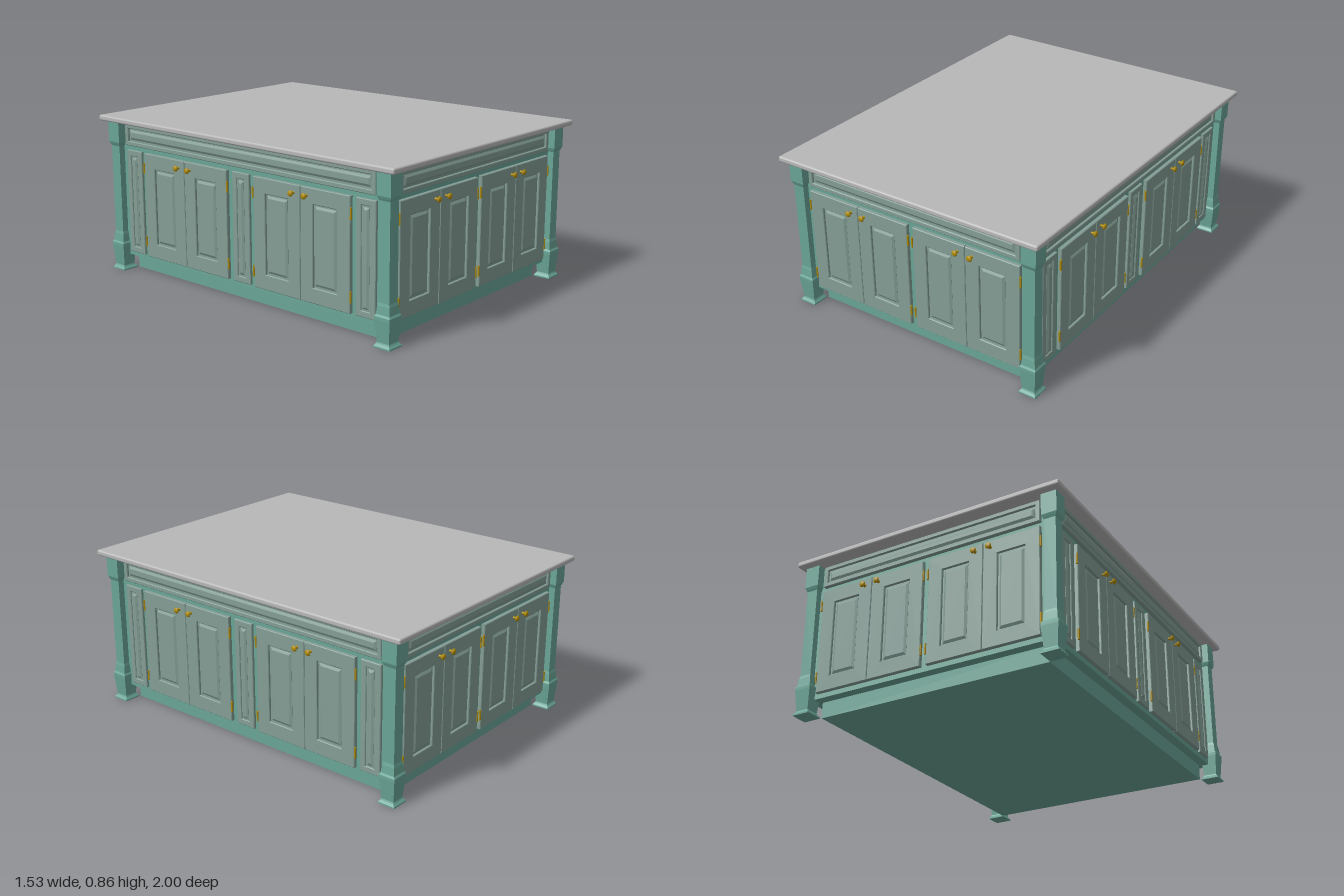
import * as THREE from 'three';
import { RoundedBoxGeometry } from 'three/addons/geometries/RoundedBoxGeometry.js';

const paint = new THREE.MeshStandardMaterial({ color: 0x6aa596, flatShading: true });
const panelPaint = new THREE.MeshStandardMaterial({ color: 0x839d95, flatShading: true });
const stone = new THREE.MeshStandardMaterial({ color: 0xb8b8b8 });
const brass = new THREE.MeshStandardMaterial({ color: 0xb08c0a });

function add(parent, name, geometry, material, x = 0, y = 0, z = 0) {
  const mesh = new THREE.Mesh(geometry, material);
  mesh.name = name;
  mesh.position.set(x, y, z);
  parent.add(mesh);
  return mesh;
}

function rect(Type, w, h) {
  return new Type([[-w, -h], [w, -h], [w, h], [-w, h]].map(([x, y]) => new THREE.Vector2(x / 2, y / 2)));
}

// Frame with a stepped opening and a raised, chamfered field; its back lies on z = 0
function framedPanel(name, w, h, border, t = 0.02) {
  const group = new THREE.Group();
  group.name = name;
  const bevel = 0.003;
  const frame = rect(THREE.Shape, w - 2 * bevel, h - 2 * bevel);
  const ow = w - 2 * border, oh = h - 2 * border;
  frame.holes.push(rect(THREE.Path, ow, oh));
  add(group, 'frame', new THREE.ExtrudeGeometry(frame, {
    depth: t - bevel, bevelThickness: bevel, bevelSize: bevel, bevelSegments: 1,
  }), panelPaint);
  add(group, 'recess', new THREE.BoxGeometry(ow + 0.01, oh + 0.01, 0.008), panelPaint, 0, 0, 0.004);
  const slope = Math.min(0.012, ow * 0.2, oh * 0.2);
  const field = rect(THREE.Shape, ow - 4 * slope, oh - 4 * slope);
  add(group, 'raisedField', new THREE.ExtrudeGeometry(field, {
    depth: 0.001, bevelThickness: 0.007, bevelSize: slope, bevelSegments: 1,
  }), panelPaint, 0, 0, 0.008);
  return group;
}

// Small turned knob pointing along +z
function knobGeometry() {
  const profile = [[0.009, 0], [0.006, 0.004], [0.006, 0.014], [0.012, 0.017], [0.0155, 0.021],
    [0.0145, 0.026], [0.009, 0.03], [0, 0.031]].map(([r, y]) => new THREE.Vector2(r, y));
  return new THREE.LatheGeometry(profile, 20).rotateX(Math.PI / 2);
}

// Square post with a tapered foot, a slim shaft and a top block
function legGeometry() {
  const profile = [[0, 0], [0.047, 0], [0.047, 0.007], [0.038, 0.018], [0.035, 0.025], [0.045, 0.135],
    [0.045, 0.15], [0.039, 0.16], [0.035, 0.2], [0.031, 0.215], [0.031, 0.69], [0.036, 0.7],
    [0.041, 0.712], [0.041, 0.826], [0, 0.826]];
  const points = profile.map(([half, y]) => new THREE.Vector2(half * Math.SQRT2, y));
  return new THREE.LatheGeometry(points, 4).rotateY(Math.PI / 4).toNonIndexed();
}

const doorW = 0.308, doorH = 0.565, doorY = 0.3925;

// Two doors meeting at centre x, with knobs and hinges
function doorPair(x) {
  const group = new THREE.Group();
  group.name = 'doorPair';
  group.position.set(x, doorY, 0);
  for (const s of [-1, 1]) {
    const door = framedPanel('door', doorW - 0.002, doorH, 0.075);
    door.position.x = s * doorW / 2;
    group.add(door);
    add(group, 'knob', knobGeometry(), brass, s * 0.042, 0.2425, 0.019);
    for (const y of [-0.2, 0.2]) {
      add(group, 'hinge', new THREE.CylinderGeometry(0.005, 0.005, 0.056, 10), brass, s * (doorW + 0.003), y, 0.018);
    }
  }
  return group;
}

// One cabinet face: apron panel, door pairs and narrow fixed panels
function cabinetFace(name, apronWidth, doorCentres, panelCentres) {
  const group = new THREE.Group();
  group.name = name;
  const apron = framedPanel('apronPanel', apronWidth, 0.116, 0.02);
  apron.position.y = 0.759;
  group.add(apron);
  for (const x of doorCentres) group.add(doorPair(x));
  for (const x of panelCentres) {
    const panel = framedPanel('fixedPanel', 0.117, doorH, 0.028, 0.014);
    panel.position.set(x, doorY, 0);
    group.add(panel);
  }
  return group;
}

export function createModel() {
  const model = new THREE.Group();
  model.name = 'kitchenIsland';
  const bx = 0.688, bz = 0.917;

  // Worktop, carcass and recessed plinth
  add(model, 'worktop', new RoundedBoxGeometry(1.53, 0.03, 2, 4, 0.01), stone, 0, 0.84, 0);
  add(model, 'carcass', new THREE.BoxGeometry(2 * bx, 0.741, 2 * bz), paint, 0, 0.4555, 0);
  add(model, 'plinth', new THREE.BoxGeometry(2 * bx - 0.1, 0.084, 2 * bz - 0.1), paint, 0, 0.044, 0);

  // Corner legs
  for (const sx of [-1, 1]) {
    for (const sz of [-1, 1]) add(model, 'cornerLeg', legGeometry(), paint, sx * 0.692, 0, sz * 0.92);
  }

  // Matching opposite faces
  for (const s of [-1, 1]) {
    const end = cabinetFace(s > 0 ? 'frontFace' : 'backFace', 1.262, [-0.324, 0.324], []);
    end.position.z = s * bz;
    end.rotation.y = s > 0 ? 0 : Math.PI;
    const side = cabinetFace(s > 0 ? 'leftFace' : 'rightFace', 1.71, [-0.4, 0.4], [-0.795, 0, 0.795]);
    side.position.x = s * bx;
    side.rotation.y = s * Math.PI / 2;
    model.add(end, side);
  }
  return model;
}
